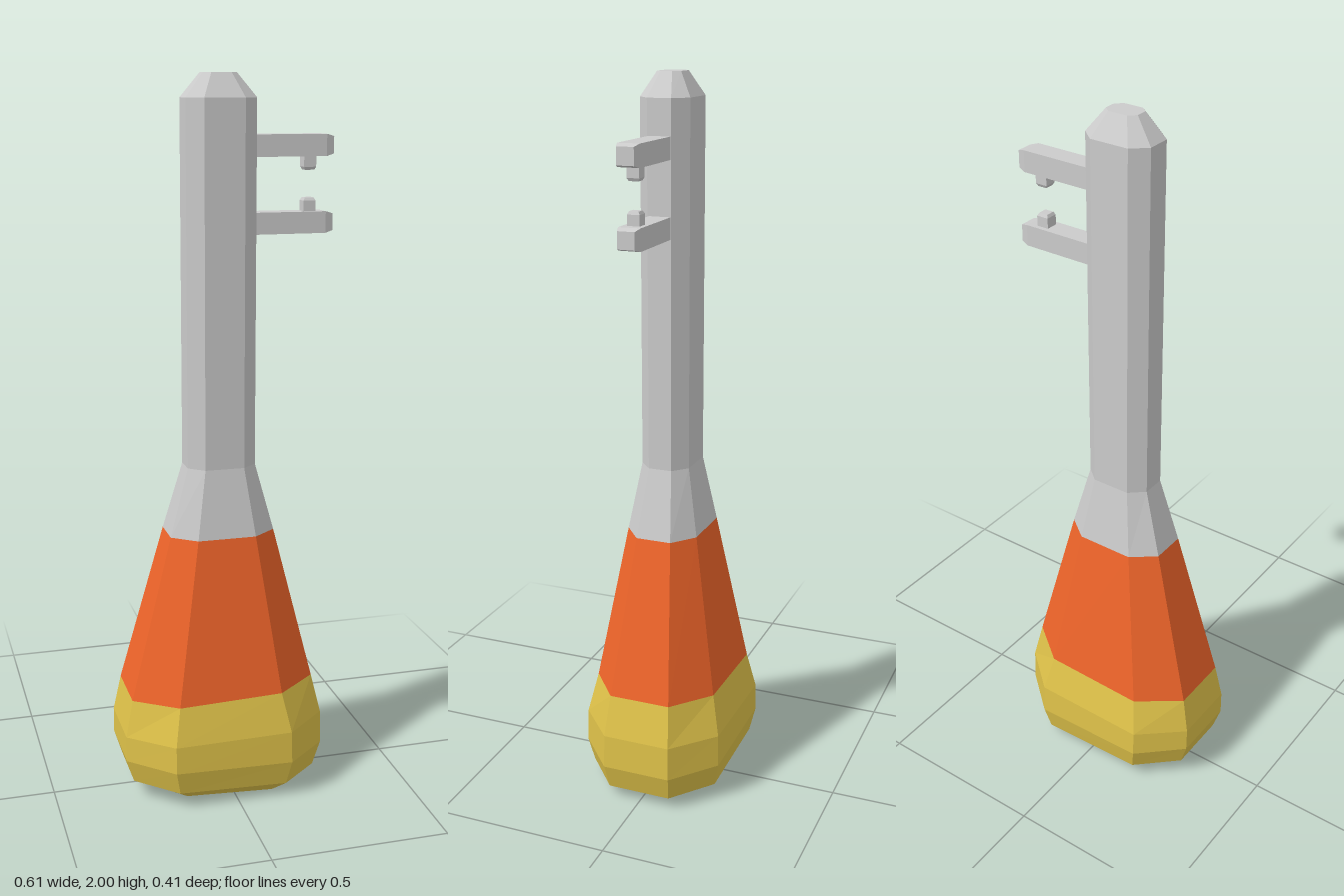
import * as THREE from 'three';

const material = (color) => new THREE.MeshStandardMaterial({ color, flatShading: true });

// Stretched octagon ring: half sizes hx, hz, flat halves fx, fz, centre cx, and tilt in y along x
function ring({ y, cx, hx, fx, hz, fz, tilt = 0 }) {
  const corners = [[fx, hz], [hx, fz], [hx, -fz], [fx, -hz], [-fx, -hz], [-hx, -fz], [-hx, fz], [-fx, hz]];
  return corners.map(([x, z]) => new THREE.Vector3(cx + x, y + (tilt * x) / hx, z));
}

// Skin a stack of rings from bottom to top, closing either end if asked
function loft(sections, capBottom, capTop) {
  const rings = sections.map(ring);
  const points = [];
  const n = rings[0].length;
  for (let r = 0; r < rings.length - 1; r++) {
    for (let i = 0; i < n; i++) {
      const j = (i + 1) % n;
      const a = rings[r][i], b = rings[r][j], c = rings[r + 1][j], d = rings[r + 1][i];
      points.push(a, b, c, a, c, d);
    }
  }
  const top = rings[rings.length - 1];
  for (let i = 1; i < n - 1; i++) {
    if (capBottom) points.push(rings[0][0], rings[0][i + 1], rings[0][i]);
    if (capTop) points.push(top[0], top[i], top[i + 1]);
  }
  const geometry = new THREE.BufferGeometry().setFromPoints(points);
  geometry.computeVertexNormals();
  return geometry;
}

// Bar along +x from the origin whose last stretch narrows to a bevelled end
function bevelledBar(length, height, depth, bevel, taper) {
  const geometry = new THREE.BoxGeometry(length, height, depth, 2, 1, 1);
  geometry.translate(length / 2, 0, 0);
  const p = geometry.attributes.position;
  for (let i = 0; i < p.count; i++) {
    const x = p.getX(i);
    if (x > length * 0.75) {
      p.setY(i, p.getY(i) * taper);
      p.setZ(i, p.getZ(i) * taper);
    } else if (x > length * 0.25) {
      p.setX(i, length - bevel);
    }
  }
  geometry.computeVertexNormals();
  return geometry;
}

export function createModel() {
  const model = new THREE.Group();
  const grey = material(0xcccccc);
  const add = (name, geometry, mat, parent = model) => {
    const mesh = new THREE.Mesh(geometry, mat);
    mesh.name = name;
    parent.add(mesh);
    return mesh;
  };

  // Cross-sections shared by neighbouring colour bands
  const yellowTop = { y: 0.31, cx: -0.02, hx: 0.263, fx: 0.147, hz: 0.177, fz: 0.087, tilt: 0.009 };
  const orangeTop = { y: 0.76, cx: -0.012, hx: 0.148, fx: 0.082, hz: 0.102, fz: 0.05 };
  const shaft = { cx: -0.01, hx: 0.096, fx: 0.055, hz: 0.069, fz: 0.033 };

  // Rounded, slightly tilted foot
  add('base', loft([
    { y: 0.014, cx: -0.018, hx: 0.212, fx: 0.125, hz: 0.155, fz: 0.075, tilt: -0.012 },
    { y: 0.045, cx: -0.016, hx: 0.267, fx: 0.155, hz: 0.188, fz: 0.09, tilt: -0.01 },
    { y: 0.115, cx: -0.016, hx: 0.288, fx: 0.168, hz: 0.203, fz: 0.097, tilt: -0.008 },
    { y: 0.2, cx: -0.017, hx: 0.287, fx: 0.167, hz: 0.201, fz: 0.096, tilt: 0.004 },
    yellowTop,
  ], true, false), material(0xe0c34a));

  // Tapering middle band
  add('middleBand', loft([yellowTop, orangeTop], false, false), material(0xf0652a));

  // Neck, straight shaft and bevelled tip
  add('shaft', loft([
    orangeTop,
    { ...shaft, y: 0.95 },
    { ...shaft, y: 1.937 },
    { y: 2, cx: -0.01, hx: 0.046, fx: 0.027, hz: 0.033, fz: 0.016 },
  ], false, true), grey);

  // Pair of prongs with small pegs pointing at each other
  for (const [name, y, side] of [['upperProng', 1.814, -1], ['lowerProng', 1.611, 1]]) {
    const prong = new THREE.Group();
    prong.name = name;
    prong.position.set(0.07, y, -0.001);
    add('bar', bevelledBar(0.234, 0.058, 0.06, 0.022, 0.78), grey, prong);
    const peg = add('peg', bevelledBar(0.045, 0.034, 0.034, 0.008, 0.75), grey, prong);
    peg.position.set(0.17, side * 0.02, 0);
    peg.rotation.z = (side * Math.PI) / 2;
    model.add(prong);
  }

  return model;
}
